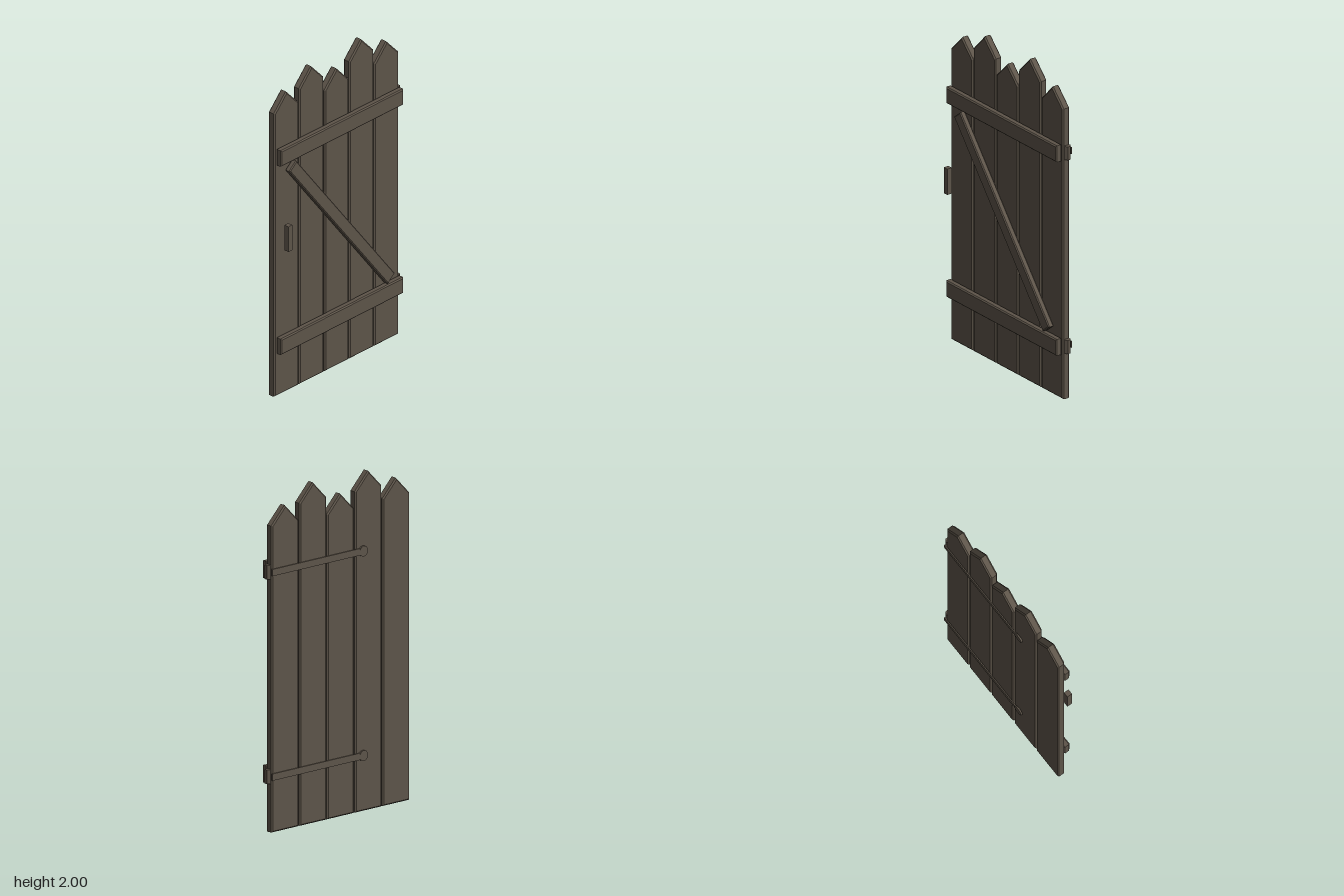
import * as THREE from 'three';

export function createModel() {
  const gate = new THREE.Group();
  gate.name = 'gate';
  const wood = new THREE.MeshStandardMaterial({ color: 0x5d5449 });
  wood.name = 'weathered brown';

  const add = (name, geometry, x, y, z) => {
    const mesh = new THREE.Mesh(geometry, wood);
    mesh.name = name;
    mesh.position.set(x, y, z);
    gate.add(mesh);
    return mesh;
  };

  // Board with chamfered edges, its thickness centred on z = 0
  const board = (points, thickness, bevel) => {
    const shape = new THREE.Shape(points.map(([x, y]) => new THREE.Vector2(x, y)));
    const geometry = new THREE.ExtrudeGeometry(shape, {
      depth: thickness - 2 * bevel,
      bevelEnabled: true,
      bevelThickness: bevel,
      bevelSize: bevel,
      bevelOffset: -bevel,
      bevelSegments: 1,
    });
    return geometry.translate(0, 0, bevel - thickness / 2);
  };
  const plank = (w, h, thickness, bevel) =>
    board([[-w / 2, -h / 2], [w / 2, -h / 2], [w / 2, h / 2], [-w / 2, h / 2]], thickness, bevel);

  // Pointed pickets: centre, shoulder height, peak height
  const half = 0.102;
  [
    [-0.437, 1.805, 1.91],
    [-0.226, 1.885, 1.99],
    [-0.014, 1.79, 1.895],
    [0.195, 1.895, 2.0],
    [0.407, 1.8, 1.905],
  ].forEach(([x, shoulder, peak], i) => {
    const outline = [[-half, 0], [half, 0], [half, shoulder], [0, peak], [-half, shoulder]];
    add(`picket${i + 1}`, board(outline, 0.049, 0.008), x, 0, -0.0315);
  });

  // Cross rails on the front
  add('upperRail', plank(1.03, 0.102, 0.041, 0.007), -0.014, 1.53, 0.0155);
  add('lowerRail', plank(1.03, 0.102, 0.041, 0.007), -0.014, 0.329, 0.0155);

  // Diagonal brace between the rails
  const a = new THREE.Vector2(-0.428, 1.445);
  const b = new THREE.Vector2(0.402, 0.408);
  const brace = add('diagonalBrace', plank(a.distanceTo(b), 0.076, 0.036, 0.006),
    (a.x + b.x) / 2, (a.y + b.y) / 2, 0.016);
  brace.rotation.z = Math.atan2(b.y - a.y, b.x - a.x);

  // Pull handle
  add('handle', new THREE.BoxGeometry(0.033, 0.16, 0.032), -0.488, 1.02, 0.052);

  // Hinges: hexagonal knuckle, long back strap and its rounded tip
  [['upper', 1.53], ['lower', 0.329]].forEach(([side, y]) => {
    add(`${side}HingeKnuckle`, new THREE.CylinderGeometry(0.02, 0.02, 0.083, 6).toNonIndexed(), 0.517, y, -0.033)
      .geometry.computeVertexNormals();
    add(`${side}HingeStrap`, new THREE.BoxGeometry(0.695, 0.04, 0.007), 0.168, y, -0.0645);
    const tip = new THREE.CylinderGeometry(0.032, 0.032, 0.01, 10).rotateX(Math.PI / 2);
    add(`${side}HingeTip`, tip, -0.178, y, -0.064);
  });

  return gate;
}
